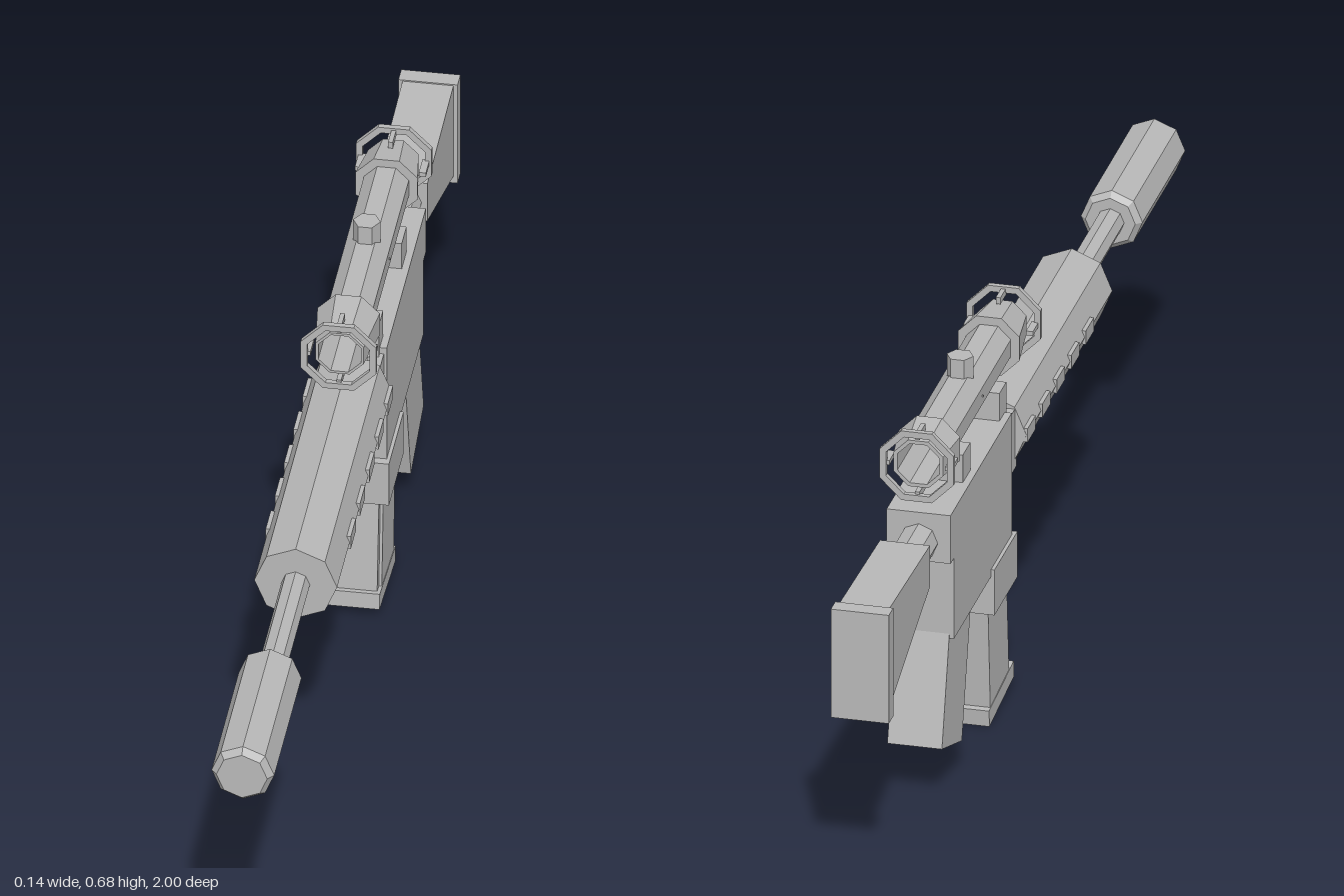
import * as THREE from 'three';

export function createModel() {
  const model = new THREE.Group();
  model.name = 'lowPolyRifleProp';
  const grey = new THREE.MeshStandardMaterial({ color: 0xb8b8b8 });
  grey.name = 'plainGrey';

  // Adds a part with hard facets
  function add(name, geometry) {
    const g = geometry.index ? geometry.toNonIndexed() : geometry;
    g.computeVertexNormals();
    const mesh = new THREE.Mesh(g, grey);
    mesh.name = name;
    model.add(mesh);
    return mesh;
  }

  // Box given by its extents: half width, y range, z range, x centre
  function box(name, halfW, y0, y1, z0, z1, x = 0) {
    const g = new THREE.BoxGeometry(halfW * 2, y1 - y0, z1 - z0);
    return add(name, g.translate(x, (y0 + y1) / 2, (z0 + z1) / 2));
  }

  // Eight-sided turned part along z, from [radius, z] pairs
  function turned(name, y, profile, flatTop = false) {
    const pts = profile.map(([r, z]) => new THREE.Vector2(r, z));
    const g = new THREE.LatheGeometry(pts, 8, flatTop ? Math.PI / 8 : 0);
    return add(name, g.rotateX(Math.PI / 2).translate(0, y, 0));
  }

  // Side outline of [z, y] corners, extruded across x
  function slab(name, halfW, outline) {
    const shape = new THREE.Shape(outline.map(([z, y]) => new THREE.Vector2(-z, y)));
    const g = new THREE.ExtrudeGeometry(shape, { depth: halfW * 2, bevelEnabled: false });
    return add(name, g.translate(0, 0, -halfW).rotateY(Math.PI / 2));
  }

  // Barrel line
  const bore = 0.464;
  turned('muzzleSleeve', bore, [[0, 0.69], [0.043, 0.69], [0.053, 0.7], [0.053, 0.988], [0.043, 1], [0, 1]]);
  turned('barrel', bore, [[0, 0.4], [0.024, 0.4], [0.024, 0.7], [0, 0.7]]);
  turned('handguard', bore, [[0, -0.15], [0.07, -0.15], [0.07, 0.43], [0, 0.43]]);
  box('handguardCollar', 0.05, 0.4, 0.51, -0.2, -0.14);
  for (const side of [-1, 1])
    for (let i = 0; i < 5; i++) {
      const z = 0.27 - i * 0.098;
      box('handguardRib', 0.008, 0.451, 0.476, z - 0.027, z + 0.027, side * 0.064);
    }

  // Receiver and magazine
  slab('receiver', 0.055, [
    [-0.19, 0.522], [-0.603, 0.522], [-0.603, 0.433], [-0.58, 0.433],
    [-0.58, 0.284], [-0.33, 0.284], [-0.19, 0.284],
  ]);
  box('magazineWell', 0.061, 0.213, 0.297, -0.33, -0.175);
  slab('magazineFront', 0.043, [[-0.185, 0.25], [-0.21, 0.25], [-0.185, 0.02], [-0.16, 0.02]]);
  slab('magazine', 0.048, [[-0.2, 0.25], [-0.325, 0.25], [-0.307, 0.02], [-0.18, 0.03]]);
  slab('magazineBase', 0.049, [[-0.153, 0.046], [-0.32, 0.03], [-0.317, 0], [-0.15, 0.017]]);

  // Grip and trigger
  slab('grip', 0.047, [[-0.43, 0.3], [-0.578, 0.3], [-0.63, 0.102], [-0.495, 0.056]]);
  box('triggerGuard', 0.018, 0.25, 0.264, -0.445, -0.36);
  box('triggerGuardFront', 0.018, 0.25, 0.29, -0.372, -0.36);

  // Stock
  turned('stockTube', bore + 0.004, [[0, -0.72], [0.033, -0.72], [0.033, -0.59], [0, -0.59]]);
  slab('stock', 0.043, [[-0.695, 0.508], [-0.98, 0.518], [-0.98, 0.33], [-0.695, 0.432]]);
  box('buttPlate', 0.05, 0.32, 0.52, -1, -0.97);

  // Hollow scope with two bells that narrow toward the ends
  const sight = 0.612;
  turned('scopeBody', sight, [
    [0.039, -0.605], [0.046, -0.605], [0.057, -0.53], [0.041, -0.53],
    [0.041, -0.13], [0.057, -0.13], [0.044, -0.035], [0.039, -0.035], [0.039, -0.605],
  ], true);
  for (const [name, z] of [['frontLensRing', -0.027], ['rearLensRing', -0.612]]) {
    turned(name, sight, [
      [0.057, z - 0.005], [0.069, z - 0.005], [0.069, z + 0.005], [0.057, z + 0.005], [0.057, z - 0.005],
    ], true);
    // Small tabs joining ring and bell
    const inner = z > -0.3 ? z - 0.04 : z + 0.04;
    const z0 = Math.min(z, inner), z1 = Math.max(z, inner);
    for (const s of [-1, 1]) {
      box(name + 'Tab', 0.004, sight + s * 0.054 - 0.006, sight + s * 0.054 + 0.006, z0, z1);
      box(name + 'Tab', 0.006, sight - 0.004, sight + 0.004, z0, z1, s * 0.054);
    }
  }

  // Crosshair
  box('crosshairAcross', 0.04, sight - 0.0015, sight + 0.0015, -0.323, -0.32);
  box('crosshairUpright', 0.0015, sight - 0.04, sight + 0.04, -0.323, -0.32);
  add('crosshairDot', new THREE.CylinderGeometry(0.005, 0.005, 0.004, 8)
    .rotateX(Math.PI / 2).translate(0, sight, -0.3215));

  // Adjustment knob and mounts
  add('scopeKnob', new THREE.CylinderGeometry(0.023, 0.023, 0.048, 6)
    .rotateY(Math.PI / 6).translate(0, 0.66, -0.323));
  box('frontScopeMount', 0.043, 0.51, 0.573, -0.226, -0.18);
  box('rearScopeMount', 0.043, 0.51, 0.573, -0.473, -0.423);

  return model;
}
